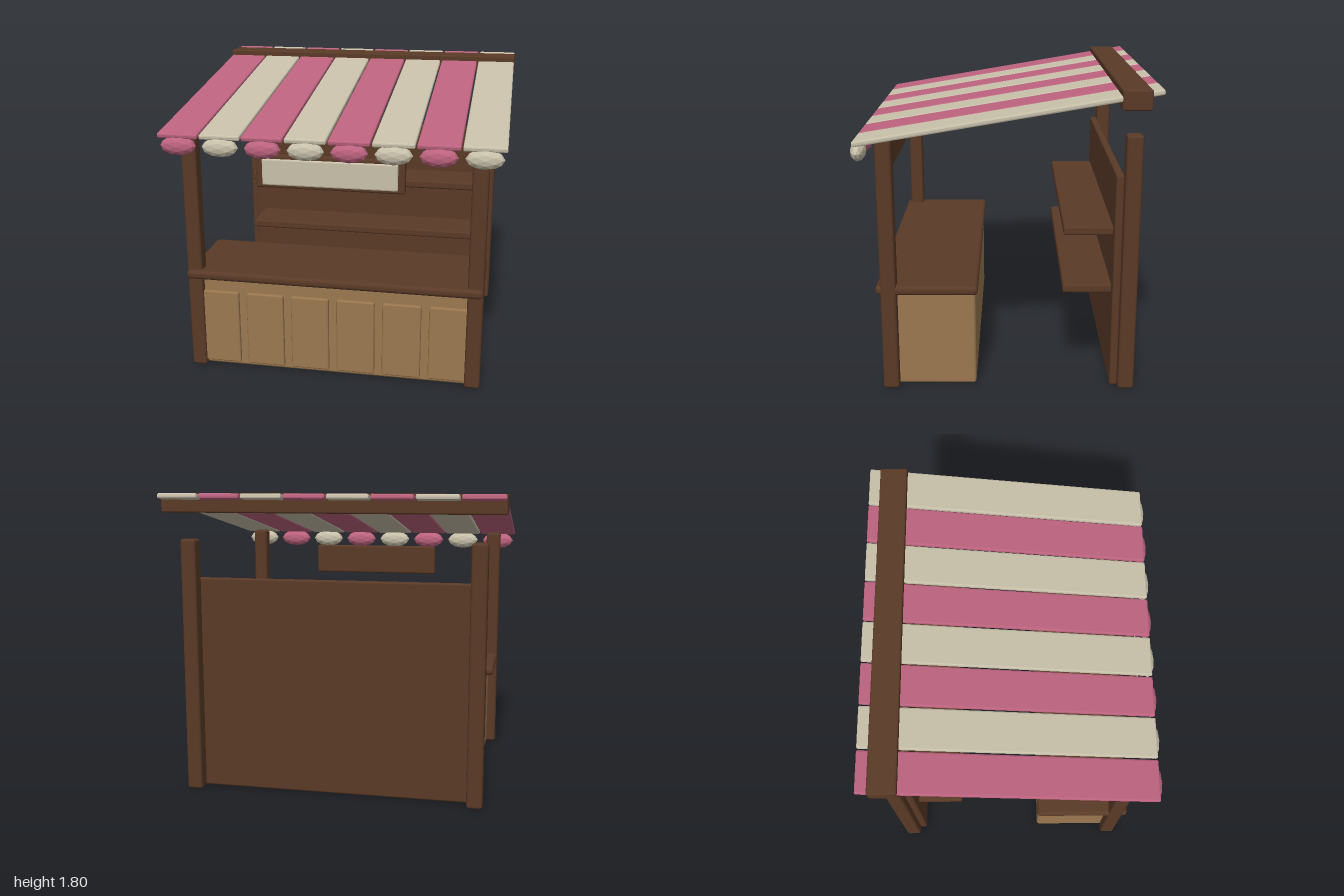
import * as THREE from 'three';
import { RoundedBoxGeometry } from 'three/addons/geometries/RoundedBoxGeometry.js';

function material(name, color, flatShading = false) {
  const m = new THREE.MeshStandardMaterial({ color, flatShading });
  m.name = name;
  return m;
}

export function createModel() {
  const model = new THREE.Group();
  model.name = 'marketStall';

  const darkWood = material('dark wood', 0x5a3a27);
  const lightWood = material('light wood', 0x9b784f);
  const rose = material('rose cloth', 0xbd637f, true);
  const cream = material('cream cloth', 0xc8c0aa, true);

  // Box with softened edges, given by its limits on each axis
  function block(name, mat, [x0, x1], [y0, y1], [z0, z1], bevel = 0.012, segments = 1) {
    const geo = new RoundedBoxGeometry(x1 - x0, y1 - y0, z1 - z0, segments, bevel);
    const mesh = new THREE.Mesh(geo, mat);
    mesh.name = name;
    mesh.position.set((x0 + x1) / 2, (y0 + y1) / 2, (z0 + z1) / 2);
    model.add(mesh);
    return mesh;
  }

  // Corner posts
  for (const side of [-1, 1]) {
    const x = side * 0.853;
    block('frontPost', darkWood, [x - 0.047, x + 0.047], [0, 1.505], [0.627, 0.72], 0.016);
    block('backPost', darkWood, [x - 0.047, x + 0.047], [0, 1.53], [-0.76, -0.665], 0.016);
  }

  // Back wall with two shelves
  block('backWall', darkWood, [-0.85, 0.85], [0, 1.295], [-0.668, -0.62]);
  for (const y of [0.565, 0.92]) {
    block('shelf', darkWood, [-0.79, 0.79], [y, y + 0.055], [-0.63, -0.335], 0.014);
  }

  // Counter: body, front panels and worktop
  block('counterBody', lightWood, [-0.84, 0.84], [0.005, 0.6], [0.172, 0.685], 0.016);
  for (let i = 0; i < 6; i++) {
    const x = (i - 2.5) * 0.281;
    block('counterPanel', lightWood, [x - 0.117, x + 0.117], [0.03, 0.502], [0.67, 0.705], 0.01);
  }
  block('worktop', darkWood, [-0.898, 0.898], [0.588, 0.645], [0.158, 0.748], 0.024, 2);

  // Hanging sign board
  block('signFrame', darkWood, [-0.435, 0.435], [1.2, 1.397], [0.7, 0.75]);
  block('signPlate', cream, [-0.395, 0.395], [1.22, 1.375], [0.735, 0.762], 0.008);

  // Ridge beam across the back of the awning
  block('roofBeam', darkWood, [-1, 1], [1.686, 1.797], [-0.783, -0.62], 0.01);

  // Sloping awning strips, each ending in a faceted scallop
  const scallopGeo = new THREE.IcosahedronGeometry(1, 1).scale(0.108, 0.057, 0.043);
  for (let i = 0; i < 8; i++) {
    const x = -0.875 + i * 0.25;
    const cloth = i % 2 ? cream : rose;
    const strip = block('awningStrip', cloth, [x - 0.12, x + 0.12], [1.6275, 1.6575], [-0.857, 0.837], 0.009);
    strip.rotation.x = 0.17;
    const scallop = new THREE.Mesh(scallopGeo, cloth);
    scallop.name = 'awningScallop';
    scallop.position.set(x, 1.443, 0.807);
    model.add(scallop);
  }

  return model;
}
